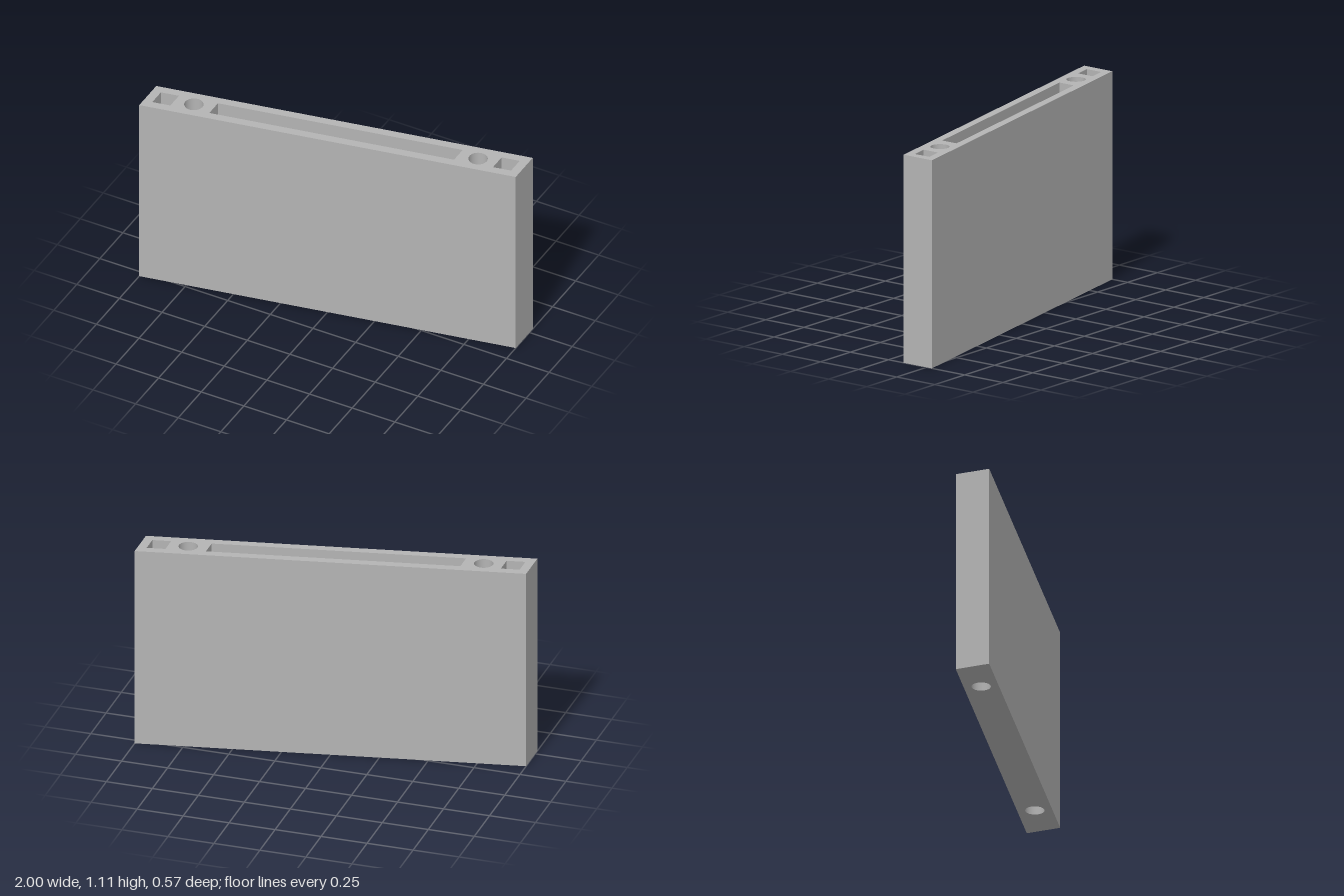
import * as THREE from 'three';

const HEIGHT = 1.11;
const FLOOR = 0.1; // height of the pocket floors
const SLOPE = 0.1925; // skew of the block in plan
const HOLE_X = 0.755;
const HOLE_R = 0.05;
const POCKETS = [
  ['leftPocket', 0.857, 0.953],
  ['longPocket', -0.65, 0.65],
  ['rightPocket', -0.953, -0.857],
];
const POCKET_HALF = 0.047;
const BLOCK_HALF = 0.0925;

// Skewed four-sided outline, counter-clockwise in plan (v is -z)
const outline = (x0, x1, half, slope = SLOPE) => [
  new THREE.Vector2(x0, slope * x0 - half),
  new THREE.Vector2(x1, slope * x1 - half),
  new THREE.Vector2(x1, slope * x1 + half),
  new THREE.Vector2(x0, slope * x0 + half),
];

// Vertical flat walls following an outline; inward walls line a pocket
function walls(points, y0, y1, inward) {
  const pos = [];
  const ring = inward ? [...points].reverse() : points;
  ring.forEach((a, i) => {
    const b = ring[(i + 1) % ring.length];
    pos.push(a.x, y0, -a.y, b.x, y0, -b.y, b.x, y1, -b.y);
    pos.push(a.x, y0, -a.y, b.x, y1, -b.y, a.x, y1, -a.y);
  });
  const geo = new THREE.BufferGeometry();
  geo.setAttribute('position', new THREE.Float32BufferAttribute(pos, 3));
  geo.computeVertexNormals();
  return geo;
}

// Block face pierced by the two round holes
function piercedShape(slope) {
  const shape = new THREE.Shape(outline(-1, 1, BLOCK_HALF, slope));
  for (const x of [-HOLE_X, HOLE_X]) {
    shape.holes.push(new THREE.Path().absarc(x, slope * x, HOLE_R, 0, Math.PI * 2, true));
  }
  return shape;
}

export function createModel() {
  const model = new THREE.Group();
  model.name = 'hollowBlock';
  const grey = new THREE.MeshStandardMaterial({ color: 0xb4b4b4, side: THREE.DoubleSide });
  grey.name = 'concreteGrey';
  const add = (name, geo) => {
    const mesh = new THREE.Mesh(geo, grey);
    mesh.name = name;
    model.add(mesh);
    return mesh;
  };

  // Outer sides
  add('outerWalls', walls(outline(-1, 1, BLOCK_HALF), 0, HEIGHT, false));

  // Top face with all openings
  const top = piercedShape(SLOPE);
  for (const [, x0, x1] of POCKETS) {
    top.holes.push(new THREE.Path(outline(x0, x1, POCKET_HALF).reverse()));
  }
  add('topFace', new THREE.ShapeGeometry(top, 24).rotateX(-Math.PI / 2).translate(0, HEIGHT, 0));

  // Underside with only the round holes
  add('underside', new THREE.ShapeGeometry(piercedShape(-SLOPE), 24).rotateX(Math.PI / 2));

  // Blind pockets
  for (const [name, x0, x1] of POCKETS) {
    const points = outline(x0, x1, POCKET_HALF);
    add(name + 'Walls', walls(points, FLOOR, HEIGHT, true));
    const floor = new THREE.ShapeGeometry(new THREE.Shape(points));
    add(name + 'Floor', floor.rotateX(-Math.PI / 2).translate(0, FLOOR, 0));
  }

  // Round holes through the full height
  for (const side of [-1, 1]) {
    const bore = new THREE.CylinderGeometry(HOLE_R, HOLE_R, HEIGHT, 48, 1, true);
    const mesh = add(side > 0 ? 'leftBore' : 'rightBore', bore);
    mesh.position.set(side * HOLE_X, HEIGHT / 2, -side * SLOPE * HOLE_X);
  }

  return model;
}
